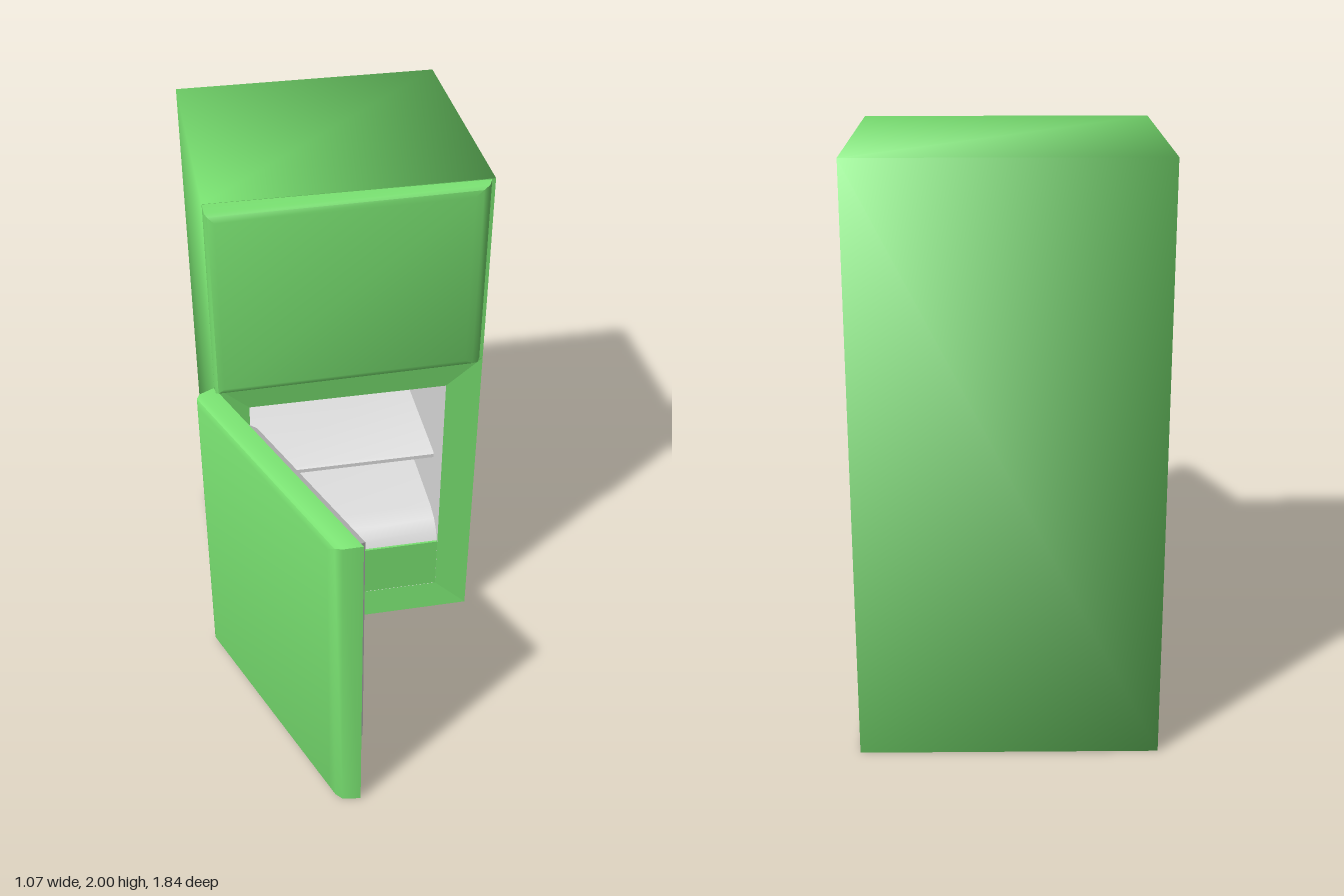
import * as THREE from 'three';
import { toCreasedNormals } from 'three/addons/utils/BufferGeometryUtils.js';

// Skin over rectangular rings [x0, x1, y0, y1, z], with optional end caps
function loft(rings, startCap, endCap, crease = 0.9) {
  const pos = [];
  const corners = ([x0, x1, y0, y1, z]) => [[x0, y0, z], [x1, y0, z], [x1, y1, z], [x0, y1, z]];
  const quad = (a, b, c, d) => pos.push(...a, ...b, ...c, ...a, ...c, ...d);
  const loops = rings.map(corners);
  for (let i = 0; i < loops.length - 1; i++) {
    for (let j = 0; j < 4; j++) {
      const k = (j + 1) % 4;
      quad(loops[i][j], loops[i][k], loops[i + 1][k], loops[i + 1][j]);
    }
  }
  const last = loops[loops.length - 1];
  if (startCap) quad(loops[0][0], loops[0][3], loops[0][2], loops[0][1]);
  if (endCap) quad(...last);
  const geo = new THREE.BufferGeometry();
  geo.setAttribute('position', new THREE.Float32BufferAttribute(pos, 3));
  return toCreasedNormals(geo, crease);
}

export function createModel() {
  const model = new THREE.Group();
  model.name = 'refrigerator';
  const green = new THREE.MeshStandardMaterial({ color: 0x78e070 });
  green.name = 'green enamel';
  const grey = new THREE.MeshStandardMaterial({ color: 0xdedede });
  grey.name = 'light grey plastic';

  const add = (parent, name, geo, mat) => {
    const mesh = new THREE.Mesh(geo, mat);
    mesh.name = name;
    parent.add(mesh);
    return mesh;
  };

  const L = -0.46, R = 0.54;          // cabinet sides
  const iL = -0.335, iR = 0.41;       // opening sides
  const split = 1.26, iTop = 1.14, iBot = 0.12;

  // Cabinet shell, softly shaded across its corners, open at the front
  add(model, 'cabinet', loft([[L, R, 0, 2, -0.92], [L, R, 0, 2, 0]], true, false, 2), green);

  // Mitred frame around the opening, and the front wall behind the upper door
  add(model, 'openingFrame', loft([[L, R, 0, split, 0], [iL, iR, iBot, iTop, -0.015]], false, false, 0.02), green);
  add(model, 'upperFront', new THREE.PlaneGeometry(R - L, 2 - split)
    .translate((L + R) / 2, (2 + split) / 2, 0), green);

  // Interior walls
  add(model, 'interior', loft([[iL, iR, iBot, iTop, -0.015], [iL, iR, iBot, iTop, -0.68]], false, true), grey);

  // Lower front panel, with a round-fronted floor above it
  const midX = (iL + iR) / 2, width = iR - iL;
  add(model, 'lowerPanel', new THREE.BoxGeometry(width, 0.24, 0.03).translate(midX, 0.23, -0.031), green);
  const profile = new THREE.Shape([
    [0.025, 0.35], [0.68, 0.35], [0.68, 0.44], [0.15, 0.435], [0.085, 0.42], [0.045, 0.39],
  ].map(([d, y]) => new THREE.Vector2(d, y)));
  const floor = new THREE.ExtrudeGeometry(profile, { depth: width, bevelEnabled: false });
  floor.rotateY(Math.PI / 2).translate(iL, 0, 0);
  add(model, 'interiorFloor', toCreasedNormals(floor, 0.8), grey);

  // Shelf with a softened front lip
  add(model, 'shelf', loft([
    [iL, iR, 0.69, 0.72, -0.68], [iL, iR, 0.69, 0.72, -0.15], [iL, iR, 0.697, 0.713, -0.14],
  ], false, true), grey);

  // Doors: hinge at local x = 0, wide bevel on the opening edge
  const makeDoor = (name, height, y, angle) => {
    const door = new THREE.Group();
    door.name = name;
    add(door, name + 'Panel', loft([
      [0, 1, 0, height, 0],
      [0, 0.97, 0.006, height - 0.006, 0.06],
      [0.008, 0.945, 0.015, height - 0.015, 0.075],
      [0.03, 0.915, 0.035, height - 0.035, 0.083],
    ], true, true), green);
    door.position.set(L, y, -0.008);
    door.rotation.y = THREE.MathUtils.degToRad(angle);
    model.add(door);
    return door;
  };
  makeDoor('upperDoor', 2 - split - 0.002, split + 0.002, 1.1);
  const lowerDoor = makeDoor('lowerDoor', 1.25, 0, -68.5);

  // Raised liner on the inside of the open door
  add(lowerDoor, 'doorLiner', loft([
    [0.13, 0.856, 0.15, 1.11, -0.1], [0.08, 0.915, 0.08, 1.18, 0],
  ], true, false, 0.5), grey);

  return model;
}
